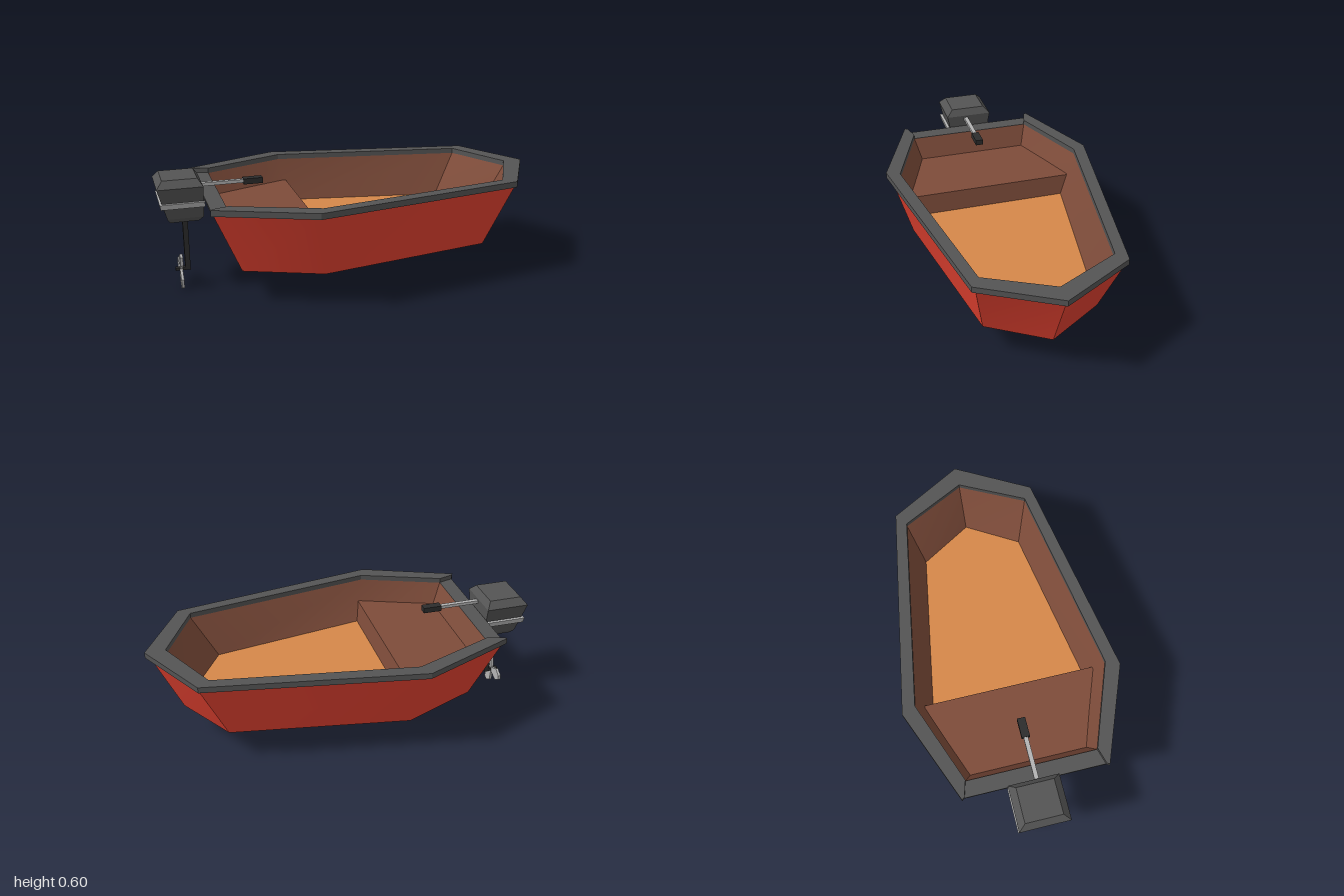
import * as THREE from 'three';
import { toCreasedNormals } from 'three/addons/utils/BufferGeometryUtils.js';

const material = (name, color) => {
  const m = new THREE.MeshStandardMaterial({ color });
  m.name = name;
  return m;
};

// Full outline from one half, listed bow to stern as [x, z]
const mirrored = (half) => [
  ...half,
  ...half.filter((p) => p[1] !== 0).reverse().map(([x, z]) => [x, -z]),
];
const ring = (half, y) => mirrored(half).map(([x, z]) => [x, y, z]);
const pointRing = (p, n) => Array.from({ length: n }, () => p);

// Flat-faced skin through rings: faces outward going up, inward going down
function loft(rings) {
  const pos = [];
  for (let r = 0; r < rings.length - 1; r++) {
    const lo = rings[r], hi = rings[r + 1], n = lo.length;
    for (let i = 0; i < n; i++) {
      const j = (i + 1) % n;
      pos.push(...lo[i], ...hi[i], ...lo[j], ...lo[j], ...hi[i], ...hi[j]);
    }
  }
  const g = new THREE.BufferGeometry();
  g.setAttribute('position', new THREE.Float32BufferAttribute(pos, 3));
  g.computeVertexNormals();
  return g;
}

export function createModel() {
  const red = material('hull red', 0xe64231);
  const brown = material('inner brown', 0x7e4c3a);
  const tan = material('floor tan', 0xd6884a);
  const grey = material('rim grey', 0x545454);
  const dark = material('dark grey', 0x2d2d2d);
  const silver = material('silver grey', 0xb4b4b4);

  const model = new THREE.Group();
  const add = (name, geometry, mat, parent = model) => {
    const mesh = new THREE.Mesh(geometry, mat);
    mesh.name = name;
    parent.add(mesh);
    return mesh;
  };
  const box = (name, [x0, x1], [y0, y1], [z0, z1], mat, parent) =>
    add(name, new THREE.BoxGeometry(x1 - x0, y1 - y0, z1 - z0), mat, parent)
      .position.set((x0 + x1) / 2, (y0 + y1) / 2, (z0 + z1) / 2);

  // Hull: shallow keel point, chine and flared sides, soft at the widest point
  const crease = 0.7;
  const chine = [[0.836, 0], [0.652, 0.29], [-0.25, 0.443], [-0.63, 0.29]];
  const gunwale = [[0.978, 0], [0.787, 0.355], [-0.3, 0.54], [-0.768, 0.355]];
  add('hull', toCreasedNormals(loft([
    pointRing([-0.24, 0.091, 0], 7), ring(chine, 0.17), ring(gunwale, 0.495),
  ]), crease), red);

  // Inner walls and floor
  const floorY = 0.279;
  const innerTop = [[0.896, 0], [0.73, 0.325], [-0.27, 0.49], [-0.69, 0.33]];
  const innerFloor = [[0.765, 0], [0.605, 0.265], [-0.23, 0.405], [-0.6, 0.27]];
  add('innerWalls', toCreasedNormals(
    loft([ring(innerTop, 0.498), ring(innerFloor, floorY)]), crease), brown);
  add('floor', loft([ring(innerFloor, floorY), pointRing([0, floorY, 0], 7)]), tan);

  // Stern seat
  const seatBottom = [[-0.222, 0.403], [-0.23, 0.405], [-0.6, 0.27]];
  const seatTop = [[-0.24, 0.443], [-0.255, 0.447], [-0.645, 0.305]];
  add('seat', loft([
    ring(seatBottom, floorY), ring(seatTop, 0.386), pointRing([-0.4, 0.386, 0], 6),
  ]), brown);

  // Rim along both sides and the bow, open at the stern
  const outer = [[1, 0], [0.79, 0.373], [-0.3, 0.56], [-0.78, 0.367], [-0.77, 0.353]];
  const sternToStern = (half) => [
    ...half.slice(1).reverse(), ...half.map(([x, z]) => [x, -z]),
  ].map(([x, z]) => new THREE.Vector2(x, z));
  const rimShape = new THREE.Shape([
    ...sternToStern(outer), ...sternToStern(innerTop).reverse(),
  ]);
  const rim = new THREE.ExtrudeGeometry(rimShape, { depth: 0.031, bevelEnabled: false });
  rim.rotateX(Math.PI / 2).translate(0, 0.525, 0);
  add('rim', rim, grey);

  // Lower cap across the stern, between the rim ends
  box('sternCap', [-0.77, -0.69], [0.488, 0.5], [-0.352, 0.352], grey);

  // Outboard motor, built around its own centre line
  const motor = new THREE.Group();
  motor.name = 'motor';
  motor.position.z = -0.015;
  model.add(motor);
  const section = ([y, x0, x1, z]) => ring([[x1, z], [x0, z]], y);
  const stack = (rows) => loft([
    pointRing([-0.87, rows[0][0], 0], 4),
    ...rows.map(section),
    pointRing([-0.87, rows[rows.length - 1][0], 0], 4),
  ]);
  add('motorCover', stack([
    [0.373, -0.94, -0.8, 0.075], [0.398, -0.955, -0.776, 0.095],
    [0.562, -1, -0.773, 0.127], [0.598, -0.97, -0.797, 0.093],
  ]), grey, motor);
  add('motorBand', stack([
    [0.458, -0.985, -0.77, 0.124], [0.485, -0.99, -0.77, 0.128],
  ]), silver, motor);
  box('motorLeg', [-0.875, -0.849], [0.088, 0.38], [-0.012, 0.012], dark, motor);
  box('propellerShaft', [-0.925, -0.853], [0.088, 0.103], [-0.01, 0.01], dark, motor);

  // Three propeller blades in the plane across the shaft
  const half = [[0, 0.008], [0.066, 0.036], [0.104, 0.012]];
  const bladeShape = new THREE.Shape([
    ...half.map(([a, w]) => new THREE.Vector2(a, -w)),
    ...half.slice().reverse().map(([a, w]) => new THREE.Vector2(a, w)),
  ]);
  const bladeGeometry = new THREE.ExtrudeGeometry(bladeShape, { depth: 0.014, bevelEnabled: false });
  bladeGeometry.translate(0, 0, -0.007);
  const propeller = new THREE.Group();
  propeller.name = 'propeller';
  propeller.position.set(-0.897, 0.096, 0);
  propeller.rotation.y = Math.PI / 2;
  motor.add(propeller);
  for (let i = 0; i < 3; i++) {
    add('propellerBlade', bladeGeometry, silver, propeller)
      .rotation.z = THREE.MathUtils.degToRad(2 + i * 120);
  }

  // Steering handle
  box('handleRod', [-0.79, -0.555], [0.534, 0.551], [-0.009, 0.013], silver);
  box('handleGrip', [-0.56, -0.462], [0.527, 0.556], [-0.018, 0.023], dark);

  return model;
}
